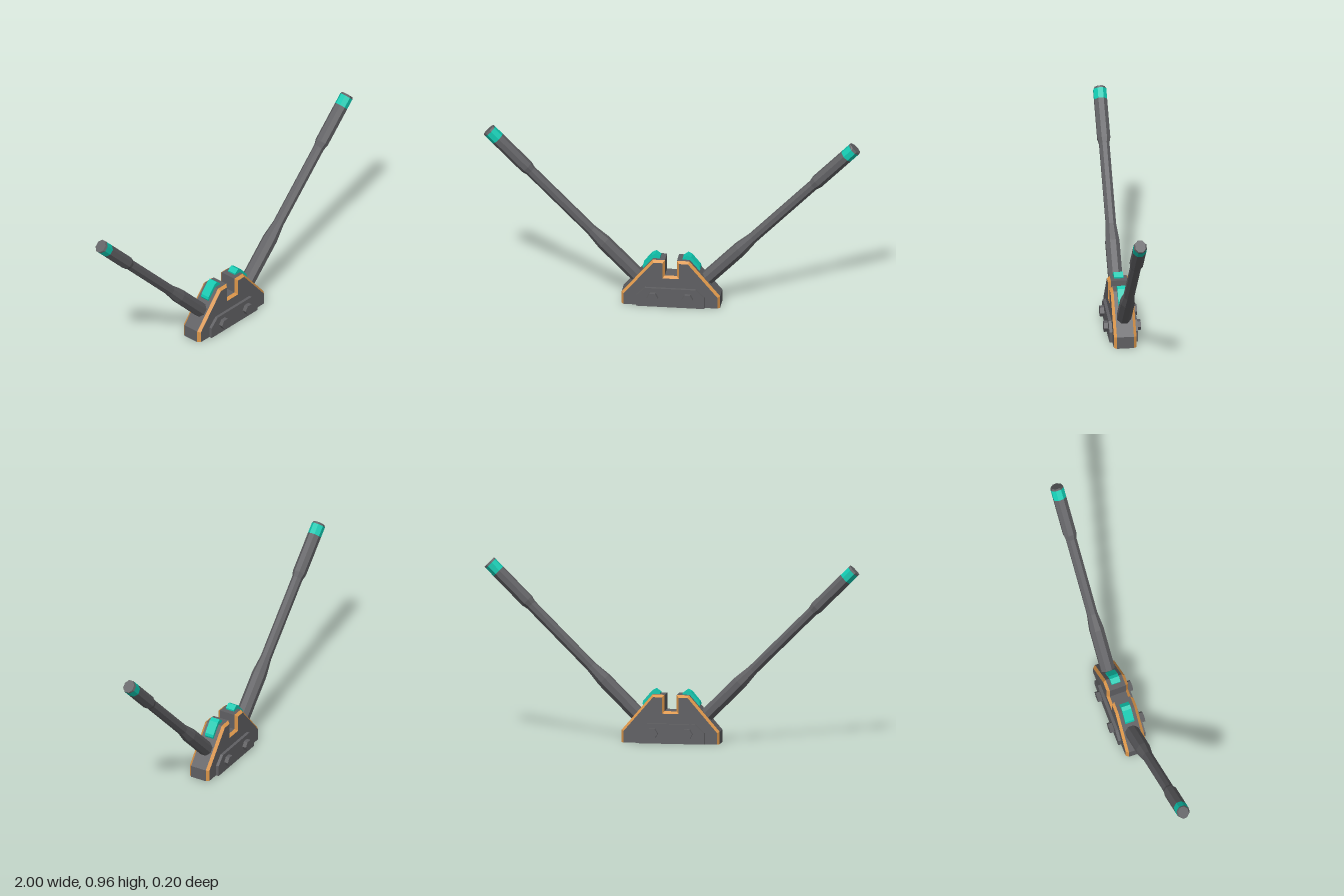
import * as THREE from 'three';

const mat = (name, color) => {
  const m = new THREE.MeshStandardMaterial({ color });
  m.name = name;
  return m;
};

// Faceted copy of a geometry
function flat(geometry) {
  const g = geometry.index ? geometry.toNonIndexed() : geometry;
  g.computeVertexNormals();
  return g;
}

function mesh(name, geometry, material) {
  const m = new THREE.Mesh(flat(geometry), material);
  m.name = name;
  return m;
}

const shapeOf = (pts) => new THREE.Shape(pts.map(([x, y]) => new THREE.Vector2(x, y)));

// Flat slab of an outline, centred on z = 0
function slab(pts, halfDepth, bevel = 0) {
  return new THREE.ExtrudeGeometry(shapeOf(pts), {
    depth: 2 * (halfDepth - bevel), bevelEnabled: bevel > 0, bevelSize: bevel,
    bevelThickness: bevel, bevelOffset: -bevel, bevelSegments: 1,
  }).translate(0, 0, bevel - halfDepth);
}

// Mirror the right half of an outline to make a full counter-clockwise one
const mirrored = (half) => [...half, ...half.map(([x, y]) => [-x, y]).reverse()];

// Octagonal sleeve from [radius to flat, height] pairs
function octagon(profile) {
  const pts = profile.map(([r, y]) => new THREE.Vector2(r / Math.cos(Math.PI / 8), y));
  return new THREE.LatheGeometry(pts, 8, Math.PI / 8);
}

// Sloping rim between an outline and its inset copy (bottom edge left out)
function rim(outer, inner, z0, z1) {
  const pos = [];
  for (let i = 0; i < outer.length - 1; i++) {
    const a = [...outer[i], z0], b = [...outer[i + 1], z0];
    const c = [...inner[i + 1], z1], d = [...inner[i], z1];
    pos.push(...a, ...b, ...c, ...a, ...c, ...d);
  }
  const g = new THREE.BufferGeometry();
  g.setAttribute('position', new THREE.Float32BufferAttribute(pos, 3));
  return g;
}

export function createModel() {
  const grey = mat('dark grey metal', 0x606063);
  const orange = mat('orange trim', 0xdc964a);
  const teal = mat('teal accent', 0x10c8b0);
  const model = new THREE.Group();
  model.name = 'twoArmedBracket';

  // Notched base block with chamfered orange rims
  const outer = mirrored([[0.262, 0], [0.262, 0.066], [0.098, 0.257], [0.032, 0.257], [0.032, 0.17]]);
  const inner = mirrored([[0.25, 0], [0.25, 0.061], [0.092, 0.245], [0.044, 0.245], [0.044, 0.158]]);
  model.add(mesh('baseCore', slab(outer, 0.045), grey));

  for (const side of [0, 1]) {
    const face = new THREE.Group();
    face.name = side ? 'backFace' : 'frontFace';
    face.rotation.y = side * Math.PI;
    face.add(mesh('rimTrim', rim(outer, inner, 0.045, 0.06), orange));
    face.add(mesh('facePlate', new THREE.ShapeGeometry(shapeOf(inner)).translate(0, 0, 0.06), grey));
    // Underside strip closing the chamfer
    const strip = rim([[-0.262, 0], [0.262, 0]], [[-0.25, 0], [0.25, 0]], 0.045, 0.06);
    face.add(mesh('undersideStrip', strip, grey));

    // Raised mounting plate and hex bolts
    const plate = mirrored([[0.182, 0], [0.182, 0.06], [0.135, 0.105]]);
    face.add(mesh('mountingPlate', slab(plate, 0.01).translate(0, 0, 0.066), grey));
    for (const x of [-0.093, 0.093]) {
      const bolt = new THREE.CylinderGeometry(0.03, 0.03, 0.03, 6, 1, false, Math.PI / 6 * 3);
      bolt.rotateX(Math.PI / 2).translate(x, 0.055, 0.083);
      face.add(mesh('bolt', bolt, grey));
    }
    model.add(face);
  }

  // Arms and teal pads, the second pair turned half way round
  const tip = 1.161, bandTop = 1.15, bandLow = 1.092;
  for (const side of [0, 1]) {
    const half = new THREE.Group();
    half.name = side ? 'rightHalf' : 'leftHalf';
    half.rotation.y = side * Math.PI;

    const arm = new THREE.Group();
    arm.name = 'arm';
    arm.position.set(0.155, 0.117, 0);
    arm.rotation.z = -Math.PI / 4;
    arm.add(mesh('armShaft', octagon([
      [0, 0], [0.037, 0], [0.037, 0.295], [0.027, 0.39], [0.027, 0.845],
      [0.034, 0.875], [0.034, bandLow],
    ]), grey));
    arm.add(mesh('tipBand', octagon([[0.034, bandLow], [0.034, bandTop]]), teal));

    // Tip cap narrows front to back only
    const cap = octagon([[0.034, bandTop], [0.034, tip], [0, tip]]);
    const p = cap.attributes.position;
    for (let i = 0; i < p.count; i++) {
      if (p.getY(i) > tip - 0.001) p.setZ(i, p.getZ(i) * 0.8);
    }
    arm.add(mesh('tipCap', cap, grey));
    half.add(arm);

    const pad = [[0.06, 0.22], [0.14, 0.17], [0.154, 0.206], [0.15, 0.22],
      [0.105, 0.273], [0.085, 0.283], [0.06, 0.265]];
    half.add(mesh('slopePad', slab(pad, 0.025), teal));
    model.add(half);
  }
  return model;
}
